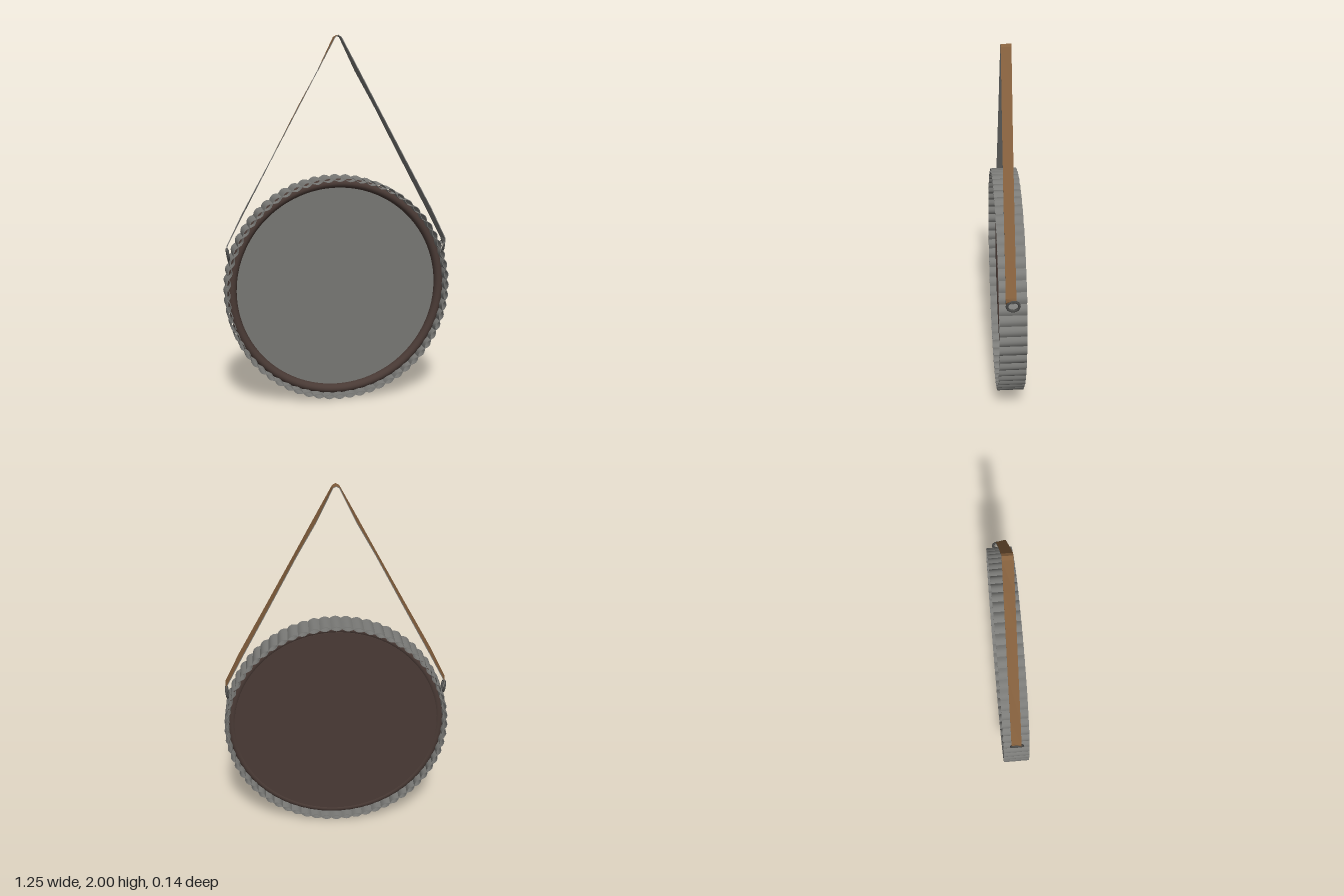
import * as THREE from 'three';
import { toCreasedNormals } from 'three/addons/utils/BufferGeometryUtils.js';

const CY = 0.625; // height of the disc centre

function mat(name, color) {
  const m = new THREE.MeshStandardMaterial({ color });
  m.name = name;
  return m;
}

function add(parent, name, geometry, material) {
  const mesh = new THREE.Mesh(geometry, material);
  mesh.name = name;
  parent.add(mesh);
  return mesh;
}

// Thin wavy strip bent into a hoop, 'sign' choosing which way the first wave goes
function wavyHoopGeometry(waves, sign) {
  const loop = offset => {
    const points = [];
    const n = waves * 10;
    for (let i = 0; i < n; i++) {
      const a = (i / n) * Math.PI * 2;
      const r = 0.611 + offset + sign * 0.012 * Math.cos(a * waves);
      points.push(new THREE.Vector2(r * Math.cos(a), r * Math.sin(a)));
    }
    return points;
  };
  const shape = new THREE.Shape(loop(0.0015));
  shape.holes.push(new THREE.Path(loop(-0.0015)));
  const g = new THREE.ExtrudeGeometry(shape, { depth: 0.143, bevelEnabled: false });
  return toCreasedNormals(g.translate(0, 0, -0.0725), 0.8);
}

// Flat strap swept along stations [x, y, zCentre, twist]; group 0 is outside, group 1 inside
function strapGeometry(stations, halfWidth, thick) {
  const outer = [], inner = [];
  const rows = stations.map(([x, y, z, twist], i) => {
    const a = stations[Math.max(i - 1, 0)];
    const b = stations[Math.min(i + 1, stations.length - 1)];
    const t = new THREE.Vector2(b[0] - a[0], b[1] - a[1]).normalize();
    const n = new THREE.Vector3(-t.y, t.x, 0); // points outward
    const at = (side, depth) => new THREE.Vector3(x, y, z + side * halfWidth)
      .addScaledVector(n, side * twist - depth);
    return [at(1, 0), at(-1, 0), at(-1, thick), at(1, thick)];
  });
  const quad = (list, a, b, c, d) => [a, b, c, a, c, d].forEach(v => list.push(v.x, v.y, v.z));
  for (let i = 0; i < rows.length - 1; i++) {
    const r = rows[i], s = rows[i + 1];
    for (let k = 0; k < 4; k++) {
      const j = (k + 1) % 4;
      quad(k === 0 ? outer : inner, r[k], s[k], s[j], r[j]);
    }
  }
  const g = new THREE.BufferGeometry();
  g.setAttribute('position', new THREE.Float32BufferAttribute([...outer, ...inner], 3));
  g.addGroup(0, outer.length / 3, 0);
  g.addGroup(outer.length / 3, inner.length / 3, 1);
  g.computeVertexNormals();
  return g;
}

export function createModel() {
  const model = new THREE.Group();
  model.name = 'hangingMirror';

  const wood = mat('darkBrown', 0x493a35);
  const glass = mat('mirrorGrey', 0x777773);
  const metal = mat('hoopGrey', 0x7b7b78);
  const leather = mat('strapBrown', 0x85603d);
  const iron = mat('ringGrey', 0x4a4a48);

  const disc = new THREE.Group();
  disc.name = 'disc';
  disc.position.y = CY;
  model.add(disc);

  // Round frame set back inside the hoop
  const frame = add(disc, 'frame', new THREE.TorusGeometry(0.583, 0.025, 16, 96), wood);
  frame.scale.z = 1.2;

  // Recessed glass and back board
  add(disc, 'mirrorGlass', new THREE.CircleGeometry(0.565, 96), glass).position.z = -0.005;
  const board = new THREE.CylinderGeometry(0.57, 0.57, 0.02, 96).rotateX(Math.PI / 2);
  add(disc, 'backBoard', board, wood).position.z = -0.021;

  // Two interlaced wavy strips make the scalloped rim
  for (const sign of [1, -1]) {
    add(disc, sign > 0 ? 'wavyHoopA' : 'wavyHoopB', wavyHoopGeometry(32, sign), metal);
  }

  // Rings that hold the strap ends, leaning in at the bottom
  for (const s of [1, -1]) {
    const ring = add(model, s > 0 ? 'leftRing' : 'rightRing',
      new THREE.TorusGeometry(0.031, 0.007, 10, 32).rotateY(Math.PI / 2), iron);
    ring.rotation.z = -s * 0.15;
    ring.position.set(s * 0.602, 0.835, 0);
  }

  // Strap over the hanging point
  const half = [
    [0.599, 0.85, 0.011, 0.003], [0.609, 0.865, 0.011, 0.003], [0.606, 0.885, 0.011, 0.005],
    [0.52, 1.055, 0.01, 0.007], [0.36, 1.35, 0.008, 0.005], [0.21, 1.63, 0.005, 0.003],
    [0.108, 1.815, 0.002, 0.005], [0.018, 1.99, 0, 0],
  ];
  const stations = [
    ...half.map(([x, y, z, t]) => [-x, y, -z * 0.3, t]),
    [0, 2, 0, 0],
    ...half.slice().reverse(),
  ];
  add(model, 'strap', strapGeometry(stations, 0.027, 0.004), [leather, metal]);

  return model;
}
